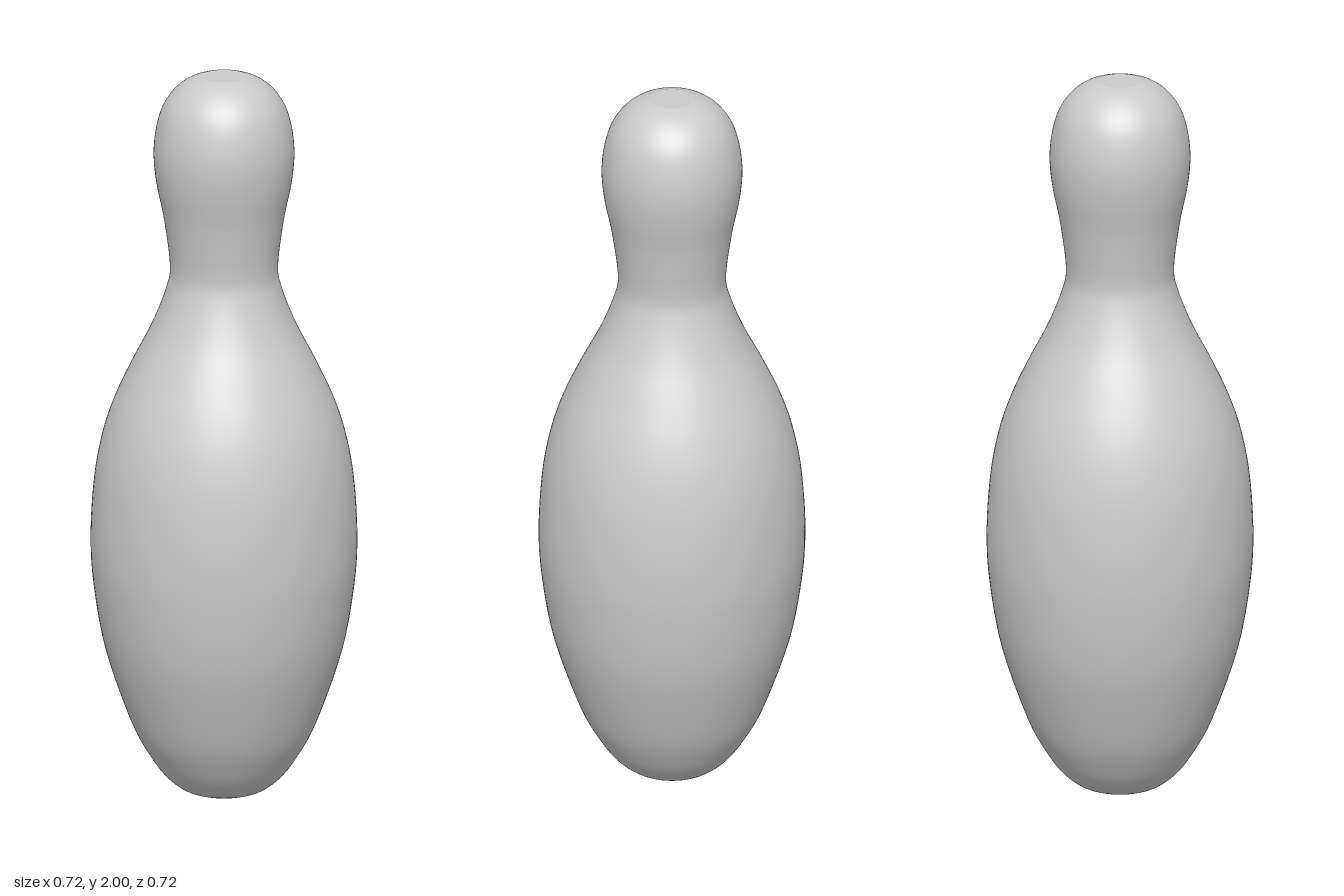
import * as THREE from 'three';

export function createModel() {
  const group = new THREE.Group();
  group.name = 'bowlingPin';
  const material = new THREE.MeshStandardMaterial({ color: 0xcccccc });
  const segments = 96;

  // Body: smooth spline profile (radius, height) turned about the y axis
  const profile = [
    [0.08, 0], [0.118, 0.015], [0.16, 0.05], [0.2, 0.105], [0.25, 0.2], [0.318, 0.4],
    [0.35, 0.58], [0.358, 0.72], [0.348, 0.88], [0.326, 1.0], [0.293, 1.1], [0.247, 1.2],
    [0.196, 1.3], [0.157, 1.4], [0.145, 1.47], [0.161, 1.6], [0.181, 1.7], [0.189, 1.78],
    [0.183, 1.85], [0.166, 1.91], [0.137, 1.955], [0.1, 1.985], [0.06, 2],
  ].map(([r, y]) => new THREE.Vector2(r, y));
  const points = new THREE.SplineCurve(profile).getPoints(110);
  const body = new THREE.Mesh(new THREE.LatheGeometry(points, segments), material);
  body.name = 'body';
  group.add(body);

  // Flat discs closing the crown and the base
  const addCap = (name, radius, y, tilt) => {
    const cap = new THREE.Mesh(new THREE.CircleGeometry(radius, segments), material);
    cap.name = name;
    cap.rotation.x = tilt;
    cap.position.y = y;
    group.add(cap);
  };
  addCap('crownCap', 0.06, 2, -Math.PI / 2);
  addCap('baseCap', 0.08, 0, Math.PI / 2);

  return group;
}
